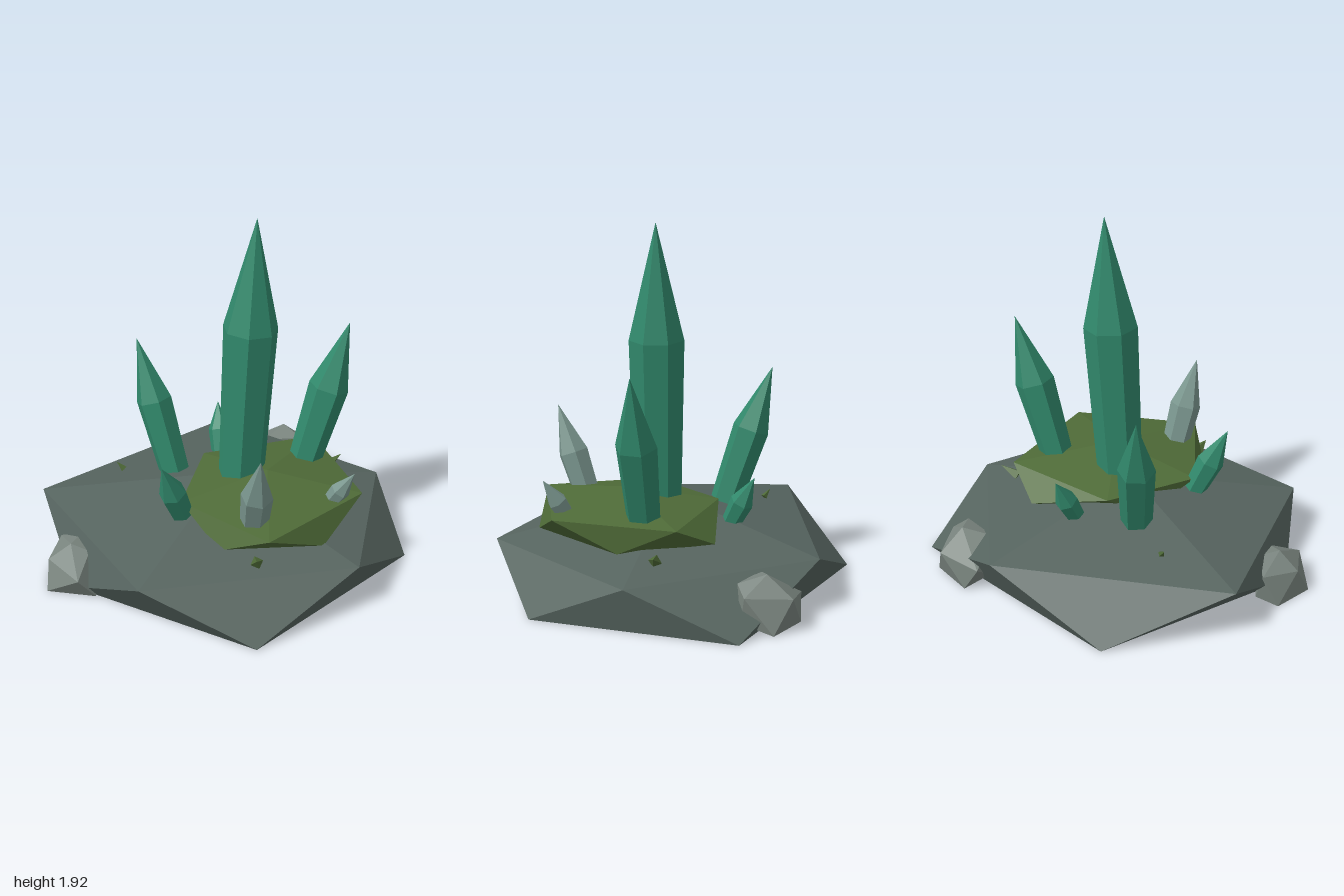
import * as THREE from 'three';

const paint = (color) => new THREE.MeshStandardMaterial({ color, flatShading: true });
const ROCK = paint(0x56645f);
const PEBBLE = paint(0x7a857f);
const MOSS = paint(0x4f6b38);
const GREEN = paint(0x31896c);
const PALE = paint(0x7a968e);

// Warped 20-sided stone: top point, two staggered rings of five, bottom point.
// Rings run from +x towards +z; lower[i] sits between upper[i] and upper[i + 1].
function stone(name, material, top, upper, lower, bottom) {
  const tris = [];
  const n = upper.length;
  for (let i = 0; i < n; i++) {
    const j = (i + 1) % n;
    tris.push(top, upper[j], upper[i]);
    tris.push(upper[i], upper[j], lower[i]);
    tris.push(lower[i], upper[j], lower[j]);
    tris.push(bottom, lower[i], lower[j]);
  }
  const geometry = new THREE.BufferGeometry();
  geometry.setAttribute('position', new THREE.Float32BufferAttribute(tris.flat(), 3));
  geometry.computeVertexNormals();
  const mesh = new THREE.Mesh(geometry, material);
  mesh.name = name;
  return mesh;
}

// Faceted spike from base to tip, widest at the shoulder (a fraction of its length).
function spike(name, material, { base, tip, baseR, r, shoulder, sides = 6, turn = 0.3 }) {
  const from = new THREE.Vector3(...base);
  const axis = new THREE.Vector3(...tip).sub(from);
  const length = axis.length();
  const profile = [[0, 0], [baseR, 0], [r, length * shoulder], [0, length]]
    .map(([x, y]) => new THREE.Vector2(x, y));
  const mesh = new THREE.Mesh(new THREE.LatheGeometry(profile, sides, turn), material);
  mesh.quaternion.setFromUnitVectors(new THREE.Vector3(0, 1, 0), axis.normalize());
  mesh.position.copy(from);
  mesh.name = name;
  return mesh;
}

export function createModel() {
  const model = new THREE.Group();
  model.name = 'crystalCluster';

  // Broad ground rock
  model.add(stone('baseRock', ROCK, [0, 0.45, 0],
    [[0.67, 0.25, 0.65], [-0.47, 0.25, 0.81], [-1, 0.275, -0.16], [0.03, 0.26, -0.94], [0.89, 0.23, -0.33]],
    [[0.12, 0, 0.99], [-0.82, 0, 0.4], [-0.64, 0, -0.75], [0.69, 0, -0.87], [0.99, 0, 0.18]],
    [0, 0, 0]));

  // Moss patch sunk into the rock
  model.add(stone('mossPatch', MOSS, [0.23, 0.52, 0.1],
    [[0.73, 0.44, 0.23], [0.2, 0.43, 0.67], [-0.24, 0.43, 0.26], [-0.1, 0.43, -0.25], [0.53, 0.44, -0.4]],
    [[0.5, 0.29, 0.5], [-0.05, 0.29, 0.52], [-0.15, 0.28, 0], [0.28, 0.32, -0.47], [0.62, 0.29, -0.1]],
    [0.23, 0.2, 0.1]));

  // Loose stones at the rim
  model.add(stone('leftPebble', PEBBLE, [-0.83, 0.23, 0.33],
    [[-0.73, 0.2, 0.36], [-0.79, 0.12, 0.53], [-0.95, 0.15, 0.35], [-0.89, 0.17, 0.15], [-0.78, 0.22, 0.22]],
    [[-0.7, 0, 0.49], [-0.96, 0, 0.43], [-0.96, 0, 0.2], [-0.82, 0, 0.17], [-0.72, 0, 0.3]],
    [-0.83, 0, 0.33]));
  model.add(stone('backPebble', PEBBLE, [0.4, 0.27, -0.85],
    [[0.5, 0.23, -0.74], [0.28, 0.23, -0.74], [0.18, 0.13, -0.92], [0.4, 0.17, -1], [0.55, 0.18, -0.81]],
    [[0.38, 0.04, -0.73], [0.22, 0.04, -0.8], [0.25, 0, -0.96], [0.5, 0, -0.95], [0.53, 0.04, -0.78]],
    [0.4, 0, -0.86]));

  // Green crystals
  const green = {
    mainCrystal: { base: [0.09, 0.36, 0.01], tip: [0.17, 1.92, -0.03], baseR: 0.125, r: 0.148, shoulder: 0.61, sides: 7, turn: Math.PI / 4 },
    rightCrystal: { base: [0.455, 0.43, -0.15], tip: [0.69, 1.23, -0.235], baseR: 0.09, r: 0.11, shoulder: 0.54 },
    backLeftCrystal: { base: [-0.265, 0.35, -0.185], tip: [-0.46, 1.1, -0.36], baseR: 0.085, r: 0.1, shoulder: 0.55 },
    frontLeftCrystal: { base: [-0.22, 0.32, 0.255], tip: [-0.34, 0.72, 0.4], baseR: 0.06, r: 0.075, shoulder: 0.53 },
    backCrystal: { base: [0, 0.33, -0.38], tip: [-0.01, 0.61, -0.525], baseR: 0.05, r: 0.062, shoulder: 0.5 },
  };
  for (const [name, spec] of Object.entries(green)) model.add(spike(name, GREEN, spec));

  // Pale crystals
  const pale = {
    frontPaleCrystal: { base: [0.135, 0.4, 0.455], tip: [0.155, 0.88, 0.63], baseR: 0.075, r: 0.085, shoulder: 0.47 },
    rightPaleCrystal: { base: [0.56, 0.42, 0.265], tip: [0.67, 0.62, 0.33], baseR: 0.045, r: 0.053, shoulder: 0.4 },
  };
  for (const [name, spec] of Object.entries(pale)) model.add(spike(name, PALE, spec));

  // Tiny moss tufts poking out of the rock
  const tufts = [
    [[0.14, 0.29, 0.64], [0.135, 0.335, 0.7], 0.035],
    [[0.6, 0.29, -0.32], [0.69, 0.335, -0.37], 0.035],
    [[-0.55, 0.33, -0.265], [-0.59, 0.37, -0.28], 0.018],
  ];
  for (const [base, tip, r] of tufts) {
    model.add(spike('mossTuft', MOSS, { base, tip, baseR: r, r: r * 0.8, shoulder: 0.2, sides: 4 }));
  }
  return model;
}
